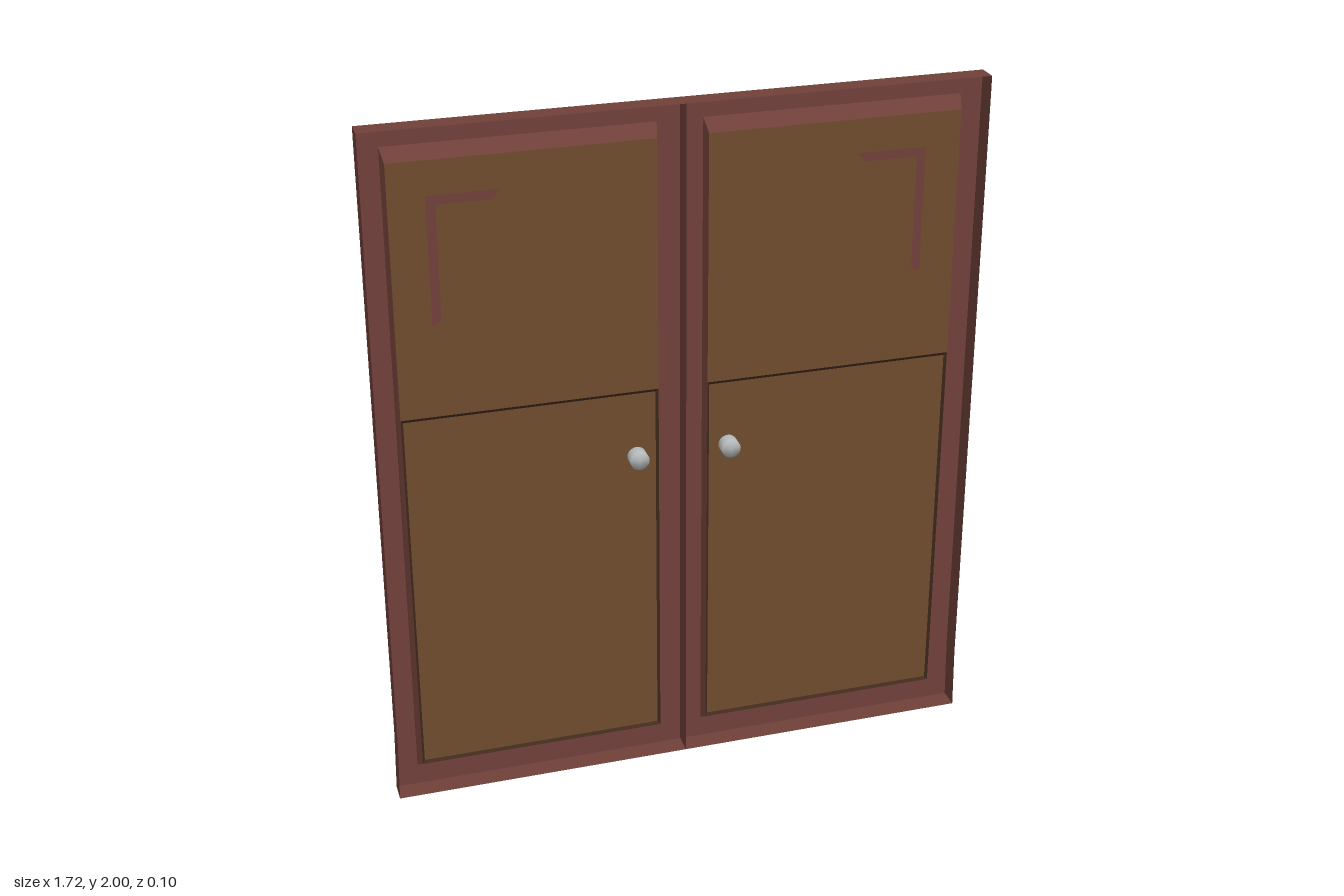
import * as THREE from 'three';

const mat = (color) => new THREE.MeshStandardMaterial({ color, side: THREE.DoubleSide, flatShading: true });

const BACK = -0.01, RIM = 0.05;     // frame sheet and rim edge
const UPPER = 0.02, LOWER = 0.013;  // panel sheets

// Four corners; the outer side may lean slightly.
const rect = (s, xi, xoLow, xoHigh, y0, y1) =>
  [[s * xi, y0], [s * xoLow, y0], [s * xoHigh, y1], [s * xi, y1]];

// Joins successive [corners, z] loops with flat quads.
function loft(loops) {
  const pos = [];
  for (let k = 0; k + 1 < loops.length; k++) {
    const [a, za] = loops[k], [b, zb] = loops[k + 1];
    for (let i = 0; i < a.length; i++) {
      const j = (i + 1) % a.length;
      pos.push(...a[i], za, ...a[j], za, ...b[j], zb);
      pos.push(...a[i], za, ...b[j], zb, ...b[i], zb);
    }
  }
  const g = new THREE.BufferGeometry();
  g.setAttribute('position', new THREE.Float32BufferAttribute(pos, 3));
  g.computeVertexNormals();
  return g;
}

function sheet(points, z, hole) {
  const toV = (pts) => pts.map(([x, y]) => new THREE.Vector2(x, y));
  const shape = new THREE.Shape(toV(points));
  if (hole) shape.holes.push(new THREE.Path(toV(hole)));
  return new THREE.ShapeGeometry(shape).translate(0, 0, z);
}

// Raised rectangular moulding around a field: slope, flat top, slope.
function moulding(s, x0, x1, y0, y1, width, zBase, zTop) {
  const inset = (d) => rect(s, x0 + d, x1 - d, x1 - d, y0 + d, y1 - d);
  return loft([
    [inset(0), zBase], [inset(width * 0.2), zTop],
    [inset(width * 0.55), zTop], [inset(width * 0.7), (zTop + zBase) / 2], [inset(width), zBase],
  ]);
}

export function createModel() {
  const model = new THREE.Group();
  const frameMat = mat(0x704039), panelMat = mat(0x6e4b2e), edgeMat = mat(0x3f2a1c);
  const knobMat = new THREE.MeshStandardMaterial({ color: 0xb4b8b8, side: THREE.DoubleSide });

  for (const s of [1, -1]) {
    const door = new THREE.Group();
    door.name = s > 0 ? 'leftDoor' : 'rightDoor';
    model.add(door);
    const add = (name, geometry, material) => {
      const m = new THREE.Mesh(geometry, material);
      m.name = name;
      door.add(m);
      return m;
    };

    // Frame sheet with its opening, and the rim standing forward of it
    const outline = [[0, 0], [s * 0.86, 0], [s * 0.855, 0.19], [s * 0.846, 2], [0, 2]];
    const opening = rect(s, 0.063, 0.795, 0.785, 0.065, 1.94);
    add('frame', sheet(outline, BACK, opening), frameMat);
    add('frameRim', loft([[outline, BACK], [outline, RIM]]), frameMat);

    // Sloped sides from the frame down to the panels
    const field = rect(s, 0.07, 0.783, 0.777, 0.085, 1.905);
    add('openingBevel', loft([[opening, BACK], [field, UPPER]]), frameMat);

    // Upper and lower panels with a small step between them
    add('upperPanel', sheet(rect(s, 0.07, 0.78, 0.777, 1.19, 1.905), UPPER), panelMat);
    const lowerOuter = rect(s, 0.07, 0.783, 0.78, 0.085, 1.19);
    const lowerInner = rect(s, 0.077, 0.776, 0.773, 0.093, 1.18);
    add('lowerPanelEdge', loft([[lowerOuter, UPPER], [lowerInner, LOWER]]), edgeMat);
    add('lowerPanel', sheet(lowerInner, LOWER), panelMat);

    // Mouldings on the back
    add('upperMoulding', moulding(s, 0.162, 0.68, 1.29, 1.81, 0.04, UPPER, 0.006), frameMat);
    add('lowerMoulding', moulding(s, 0.162, 0.68, 0.18, 1.11, 0.065, LOWER, -0.016), frameMat);

    // Corner inlay on the front of the upper panel
    const inlay = [[0.68, 1.81], [0.485, 1.81], [0.51, 1.785], [0.655, 1.785], [0.655, 1.465], [0.68, 1.45]];
    add('cornerInlay', sheet(inlay.map(([x, y]) => [s * x, y]), UPPER + 0.001), frameMat);

    // Turned knob passing through the panel
    const profile = [
      [0, 0.05], [0.027, 0.05], [0.027, 0.01], [0.022, -0.012], [0.022, -0.02],
      [0.031, -0.026], [0.035, -0.033], [0.033, -0.042], [0.027, -0.05], [0, -0.05],
    ].map(([r, z]) => new THREE.Vector2(r, z)).reverse();
    const knob = add('knob', new THREE.LatheGeometry(profile, 20).rotateX(Math.PI / 2), knobMat);
    knob.position.set(s * 0.132, 0.99, 0);
  }
  return model;
}
